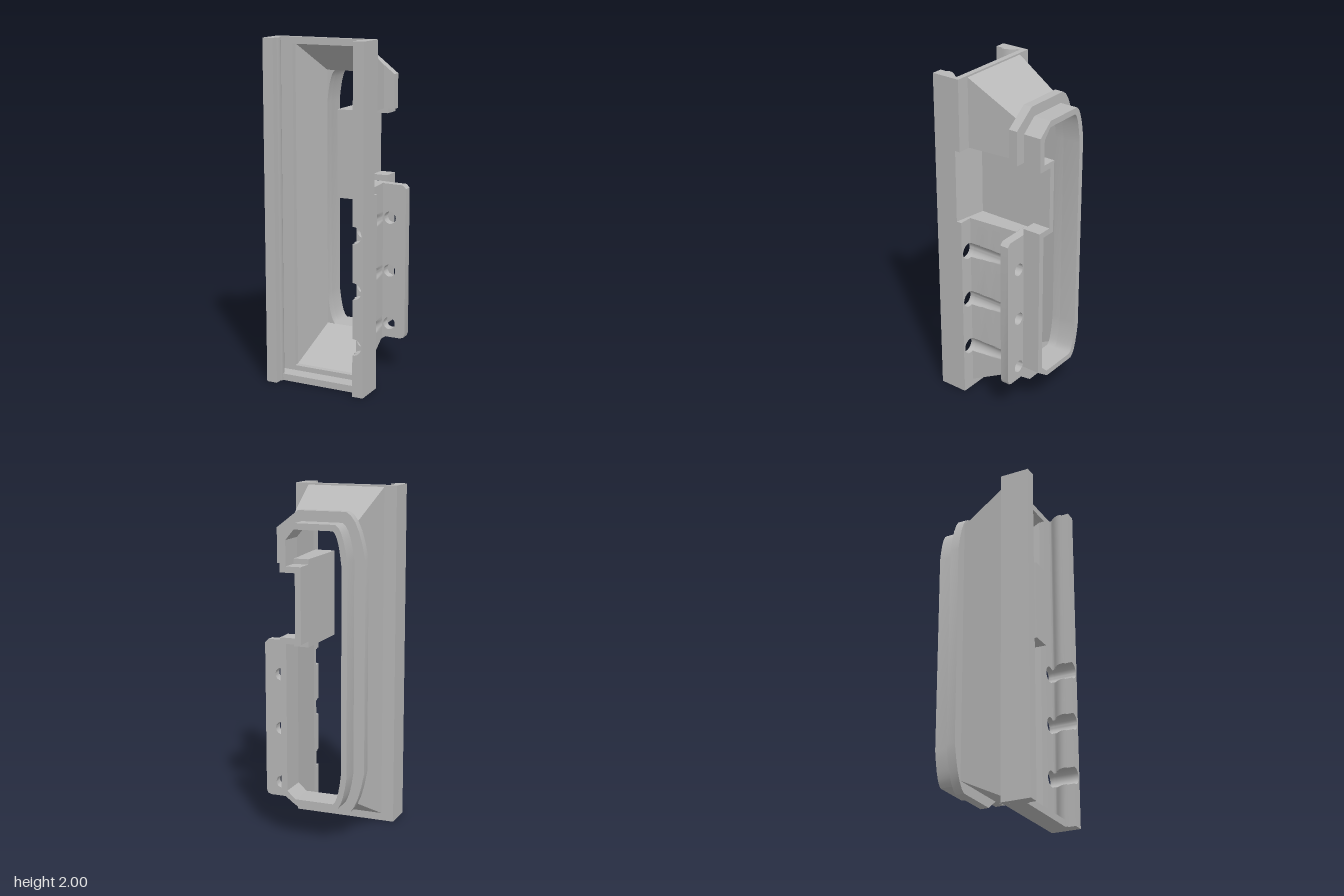
import * as THREE from 'three';
import { toCreasedNormals } from 'three/addons/utils/BufferGeometryUtils.js';

const HOLE_X = 0.23, HOLE_R = 0.049, HOLES = [0.295, 0.62, 0.94];
const Z_PLATE = 0.147, Z_FLOOR = 0.18, Z_FLANGE = -0.163, Z_NECK = -0.216, Z_END = -0.325;

const v2 = (pts) => pts.map(([x, y]) => new THREE.Vector2(x, y));
const lerp = THREE.MathUtils.lerp;

// Flat outline in x/y with holes, extruded from z0 to z1
function slab(outline, holes, circles, z0, z1) {
  const shape = new THREE.Shape(v2(outline));
  holes.forEach((h) => shape.holes.push(new THREE.Path(v2(h))));
  circles.forEach(([x, y, r]) => shape.holes.push(new THREE.Path().absarc(x, y, r, 0, Math.PI * 2, true)));
  const g = new THREE.ExtrudeGeometry(shape, { depth: z1 - z0, bevelEnabled: false, curveSegments: 16 });
  g.translate(0, 0, z0);
  return toCreasedNormals(g, 0.5);
}

// Outline in x/z, extruded from y0 to y1
function prism(pts, y0, y1) {
  const shape = new THREE.Shape(v2(pts.map(([x, z]) => [x, -z])));
  return new THREE.ExtrudeGeometry(shape, { depth: y1 - y0, bevelEnabled: false }).rotateX(-Math.PI / 2).translate(0, y0, 0);
}

// Surface through rows of points; it faces (row direction) x (column direction)
function panel(rows) {
  const pos = [];
  for (let j = 0; j < rows.length - 1; j++) {
    for (let i = 0; i < rows[j].length - 1; i++) {
      const a = rows[j][i], b = rows[j][i + 1], c = rows[j + 1][i + 1], d = rows[j + 1][i];
      pos.push(...a, ...b, ...c, ...a, ...c, ...d);
    }
  }
  const g = new THREE.BufferGeometry();
  g.setAttribute('position', new THREE.Float32BufferAttribute(pos, 3));
  g.computeVertexNormals();
  return toCreasedNormals(g, 0.5);
}

// Closed outline with curved left corners of size (cx, cy); side lists the right edge upwards
function outline(x0, y0, y1, cx, cy, side) {
  const arc = (ax, ay, bx, by, kx, ky) => new THREE.QuadraticBezierCurve(
    new THREE.Vector2(ax, ay), new THREE.Vector2(kx, ky), new THREE.Vector2(bx, by)).getPoints(5).map((p) => [p.x, p.y]);
  return [
    ...side,
    ...arc(x0 + cx, y1, x0, y1 - cy, x0 + cx * 0.35, y1 - cy * 0.1),
    ...arc(x0, y0 + cy, x0 + cx, y0, x0 + cx * 0.35, y0 + cy * 0.1),
  ];
}

// Height samples, dense around the screw holes
function heights(y0, y1) {
  const ys = [y0];
  HOLES.forEach((c) => {
    ys.push(c - HOLE_R - 0.0005);
    for (let k = 0; k <= 16; k++) ys.push(c - HOLE_R * Math.cos((k / 16) * Math.PI));
    ys.push(c + HOLE_R + 0.0005);
  });
  return [...ys, y1];
}

// Half width of a screw hole at height y, or -1 when clear of all holes
function bite(y) {
  const c = HOLES.find((h) => Math.abs(y - h) < HOLE_R + 0.0001);
  return c === undefined ? -1 : Math.sqrt(Math.max(0, HOLE_R ** 2 - (y - c) ** 2));
}

export function createModel() {
  const model = new THREE.Group();
  const grey = new THREE.MeshStandardMaterial({ color: 0xb8b8b8 });
  grey.name = 'grey plastic';
  const add = (name, geo, parent = model) => {
    const m = new THREE.Mesh(geo, grey);
    m.name = name;
    parent.add(m);
    return m;
  };
  const group = (name) => {
    const g = new THREE.Group();
    g.name = name;
    model.add(g);
    return g;
  };

  // Base plate with the large opening, side notch and screw holes
  const notch = (x, xin, y0, y1) => [[x, y0], [xin, y0], [xin, y1], [x, y1]];
  add('basePlate', slab(
    [[-0.33, 0], [0.29, 0], ...notch(0.29, 0.095, 1.145, 1.58), [0.29, 2], [-0.33, 2]],
    [[[-0.22, 0.07], [0.18, 0.07], ...notch(0.18, 0.06, 1.11, 1.61), [0.18, 1.96], [-0.22, 1.96]]],
    HOLES.map((y) => [HOLE_X, y, HOLE_R]), Z_PLATE, Z_FLOOR));

  // Undercut side rails; the left one is bitten by the screw holes
  const profile = [[-0.33, 0.18], [-0.33, 0.323], [-0.265, 0.323], [-0.265, 0.278], [-0.255, 0.278], [-0.255, 0.262],
    [-0.259, 0.245], [-0.268, 0.227], [-0.282, 0.21], [-0.295, 0.196], [-0.299, 0.188], [-0.299, 0.18]];
  const rail = (name, pts, ys, cut) => {
    const g = group(name);
    const loop = [...pts, pts[0]];
    add(name + 'Body', panel(ys.map((y) => loop.map(([x, z]) => {
      const b = cut ? bite(y) : -1;
      return [b < 0 ? x : Math.max(x, HOLE_X + b), y, z];
    }))), g);
    add(name + 'Top', new THREE.ShapeGeometry(new THREE.Shape(v2(pts.map(([x, z]) => [x, -z]))))
      .rotateX(-Math.PI / 2).translate(0, 2, 0), g);
    add(name + 'Bottom', new THREE.ShapeGeometry(new THREE.Shape(v2(pts))).rotateX(Math.PI / 2), g);
  };
  rail('rightRail', profile, [0, 2], false);
  rail('leftRail', profile.map(([x, z]) => [-0.04 - x, z]).reverse(), heights(0, 2), true);

  // Stop lip at the foot of the slide
  add('bottomLip', new THREE.BoxGeometry(0.556, 0.04, 0.085).translate(-0.02, 0.02, 0.2225));

  // Tapered funnel: outer and inner skins
  const funnel = group('funnel');
  const skin = (name, F, B, flip) => {
    const f = (ix, iy) => [F[ix], F[iy], Z_PLATE], b = (ix, iy) => [B[ix], B[iy], Z_FLANGE];
    const put = (side, rows) => add(name + side, panel(flip ? rows.map((r) => [...r].reverse()) : rows), funnel);
    put('RightWall', [[b(0, 2), f(0, 2)], [b(0, 3), f(0, 3)]]);
    put('Top', [[b(0, 3), f(0, 3)], [b(1, 3), f(1, 3)]]);
    put('Bottom', [[b(0, 2), b(1, 2)], [f(0, 2), f(1, 2)]]);
  };
  const outF = [-0.255, 0.21, 0.045, 1.99], outB = [-0.208, 0.185, 0.205, 1.82];
  const inF = [-0.22, 0.18, 0.07, 1.96], inB = [-0.18, 0.15, 0.24, 1.785];
  skin('outer', outF, outB, false);
  skin('inner', inF, inB, true);

  // Left walls stop above and below the side pocket; the outer one has screw grooves
  const steps = [...Array(13).keys()].map((k) => k / 12);
  const leftWall = (F, B, ys, grooved) => ys.map((y) => steps.map((t) => {
    const x = lerp(F[1], B[1], t), b = grooved ? bite(y) : -1;
    const yy = THREE.MathUtils.clamp(y, lerp(F[2], B[2], t), lerp(F[3], B[3], t));
    return [b < 0 ? x : Math.min(x, HOLE_X - b), yy, lerp(Z_PLATE, Z_FLANGE, t)];
  }));
  const inward = (rows) => rows.map((r) => [...r].reverse());
  add('outerLeftWallLower', panel(leftWall(outF, outB, heights(0, 1.145), true)), funnel);
  add('outerLeftWallUpper', panel(leftWall(outF, outB, [1.58, 2], false)), funnel);
  add('innerLeftWallLower', panel(inward(leftWall(inF, inB, [0, 1.11], false))), funnel);
  add('innerLeftWallUpper', panel(inward(leftWall(inF, inB, [1.61, 2], false))), funnel);

  // Side pocket walls and its sloping front
  const pocket = group('sidePocket');
  const shelf = [[0.06, Z_PLATE], [0.21, Z_PLATE], [0.185, Z_FLANGE], [0.06, Z_FLANGE]];
  add('pocketBack', new THREE.BoxGeometry(0.035, 0.5, 0.31).translate(0.0775, 1.36, -0.008), pocket);
  add('pocketFloor', prism(shelf, 1.11, 1.145), pocket);
  add('pocketCeiling', prism(shelf, 1.58, 1.61), pocket);
  add('pocketSlope', prism([[0.095, Z_PLATE], [0.29, 0.179], [0.29, Z_FLOOR], [0.095, Z_FLOOR]], 1.145, 1.58), pocket);

  // Flange with its screw tab
  const inner = (y0, y1) => outline(-0.18, 0.24, 1.785, 0.05, 0.19, [
    [0.1, 0.24], [0.15, 0.285], ...notch(0.15, 0.06, y0, y1), [0.15, 1.725], [0.1, 1.785]]);
  add('flange', slab(
    outline(-0.277, 0.145, 1.88, 0.112, 0.26, [
      [0.12, 0.145], [0.205, 0.21], [0.3, 0.21], [0.322, 0.218], [0.33, 0.24], [0.33, 1.12], [0.31, 1.14],
      [0.095, 1.145], [0.095, 1.58], [0.25, 1.58], [0.25, 1.78], [0.12, 1.88]]),
    [inner(1.11, 1.61)], HOLES.map((y) => [HOLE_X, y, 0.037]), Z_NECK, Z_FLANGE));

  // Thin-walled neck behind the flange
  add('neck', slab(
    outline(-0.213, 0.205, 1.82, 0.068, 0.2, [
      [0.097, 0.205], [0.187, 0.27], ...notch(0.187, 0.095, 1.18, 1.545), [0.187, 1.745], [0.097, 1.82]]),
    [inner(1.145, 1.58)], [], Z_END, Z_NECK));

  return model;
}
